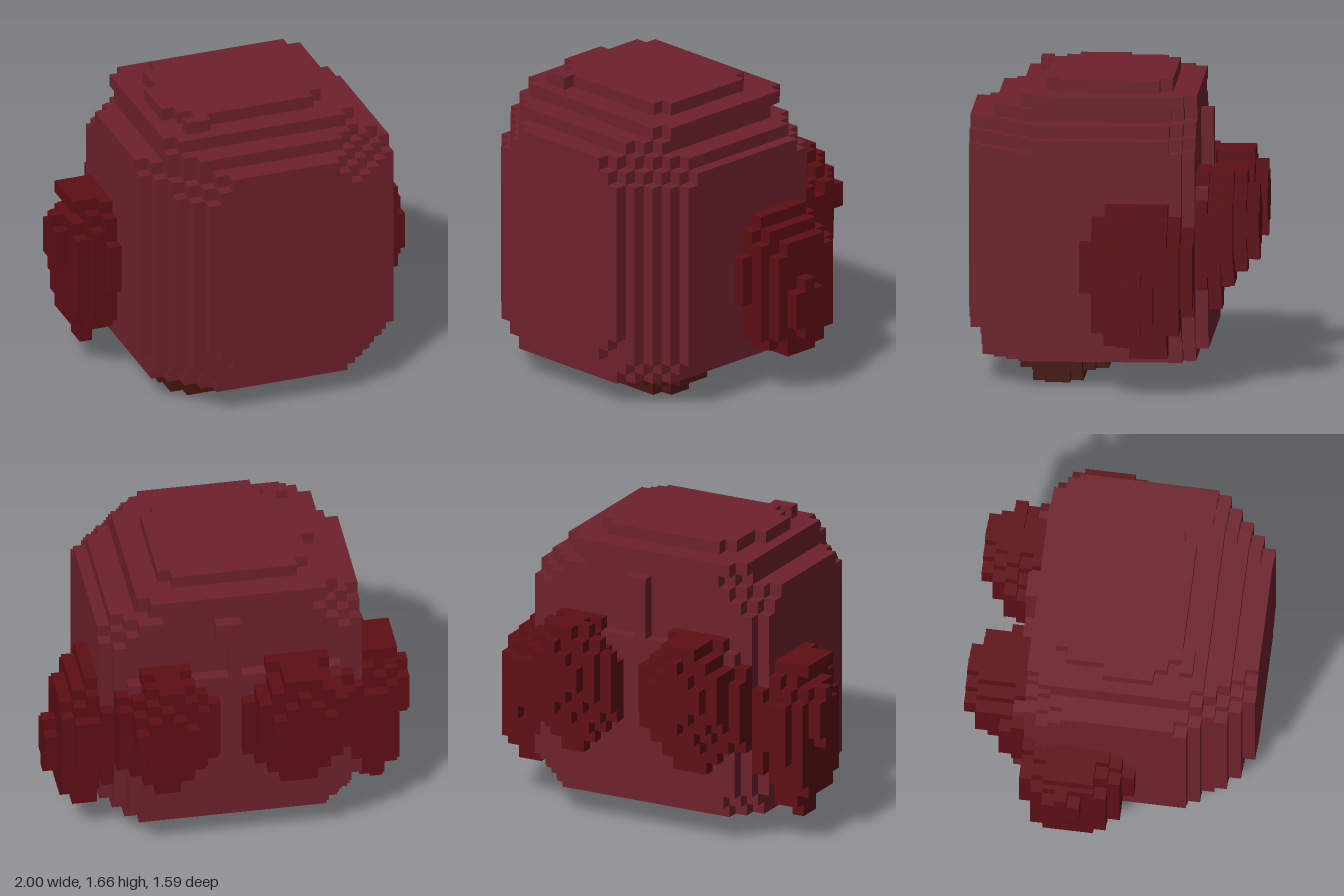
import * as THREE from 'three';

const S = 2 / 29;                 // edge length of one cube
const NX = 29, NZ = 23;           // grid size across and deep
const COLORS = { body: 0x6e222c, sideLobe: 0x5e0f15, backLobe: 0x5e0f15, foot: 0x471711 };

// Outward direction and two edge directions (u x v = n) of each cube face
const FACES = [
  [[1, 0, 0], [0, 1, 0], [0, 0, 1]], [[-1, 0, 0], [0, 0, 1], [0, 1, 0]],
  [[0, 1, 0], [0, 0, 1], [1, 0, 0]], [[0, -1, 0], [1, 0, 0], [0, 0, 1]],
  [[0, 0, 1], [1, 0, 0], [0, 1, 0]], [[0, 0, -1], [0, 1, 0], [1, 0, 0]],
];

// Mesh made of only the exposed faces of a part's cubes
function cubeMesh(name, color, cells, grid) {
  const pos = [], nor = [], idx = [];
  for (const c of cells) {
    for (const [n, u, v] of FACES) {
      if (grid.has(c.map((q, a) => q + n[a]).join())) continue;
      const base = pos.length / 3;
      for (const [du, dv] of [[-1, -1], [1, -1], [1, 1], [-1, 1]]) {
        const p = c.map((q, a) => q + 0.5 + (n[a] + du * u[a] + dv * v[a]) / 2);
        pos.push((p[0] - NX / 2) * S, p[1] * S, (p[2] - NZ / 2) * S);
        nor.push(...n);
      }
      idx.push(base, base + 1, base + 2, base, base + 2, base + 3);
    }
  }
  const geo = new THREE.BufferGeometry();
  geo.setAttribute('position', new THREE.Float32BufferAttribute(pos, 3));
  geo.setAttribute('normal', new THREE.Float32BufferAttribute(nor, 3));
  geo.setIndex(idx);
  const mesh = new THREE.Mesh(geo, new THREE.MeshStandardMaterial({ color }));
  mesh.name = name;
  return mesh;
}

export function createModel() {
  const grid = new Map();
  const parts = {};

  // Fill a slab of cubes; corners across the given axis are stepped off by chop
  function fill(part, x, y, z, axis = 1, chop = 0, keep = () => true) {
    const r = [x, y, z];
    const cells = (parts[part] ??= []);
    for (let i = x[0]; i < x[1]; i++)
      for (let j = y[0]; j < y[1]; j++)
        for (let k = z[0]; k < z[1]; k++) {
          const c = [i, j, k], key = c.join();
          let d = 0;
          for (let a = 0; a < 3; a++)
            if (a !== axis) d += Math.min(c[a] - r[a][0], r[a][1] - 1 - c[a]);
          if (d < chop || grid.has(key) || !keep(i, j, k)) continue;
          grid.set(key, part);
          cells.push(c);
        }
  }

  // Body: width limits from back to front, then stacked layers
  const widthAt = (k) => ({
    4: [6, 23], 5: [5, 24], 18: [5, 25], 19: [6, 24], 20: [6, 23], 21: [7, 22], 22: [8, 21],
  })[k] ?? [4, 25];
  const inPlan = (i, j, k) => {
    const [a, b] = widthAt(k);
    if (i < a || i >= b) return false;
    // rearmost layer: full width low down, a small ridge higher up
    if (k === 4 && j > 15 && i !== 14 && (i !== 15 || j < 19)) return false;
    // upright corners draw in toward the top and bottom
    const inset = Math.min(i - 4, 24 - i);
    const extra = j > 20 ? 0 : Math.max(0, j - 18, 4 - j);
    if (inset + 22 - k < 4 + extra || inset + k - 4 < 2 + extra) return false;
    // stepped corners of the front panel
    return k < 22 || Math.min(i - 8, 20 - i) + Math.min(j - 4, 21 - j) >= 2;
  };
  const layers = [
    // x, y, z, chop
    [[5, 23], [2, 3], [5, 22], 0],
    [[5, 24], [3, 4], [4, 22], 0],
    [[4, 25], [4, 20], [4, 23], 0],
    [[4, 24], [20, 21], [4, 23], 0],
    [[6, 22], [21, 22], [5, 21], 2],
    [[6, 22], [22, 23], [5, 19], 1],
    [[8, 20], [23, 24], [7, 17], 1],
    [[8, 10], [23, 24], [17, 18], 0],
    [[7, 8], [23, 24], [11, 15], 0],
  ];
  for (const [x, y, z, chop] of layers) fill('body', x, y, z, 1, chop, inPlan);
  fill('body', [12, 15], [1, 2], [12, 15]);

  // Side lobes: root filling the body corner, then slabs outward
  const sideSlabs = [
    // distance out from the body, y, z, chop
    [-1, [4, 15], [5, 12], 2],
    [0, [4, 15], [6, 13], 1], [0, [7, 13], [5, 14], 1], [0, [3, 4], [7, 10], 0],
    [1, [4, 14], [6, 13], 1], [1, [7, 12], [5, 6], 0], [1, [3, 4], [7, 10], 0],
    [2, [4, 13], [6, 12], 1],
  ];
  for (const [d, y, z, chop] of sideSlabs) {
    fill('rightSideLobe', [3 - d, 4 - d], y, z, 0, chop);
    fill('leftSideLobe', [25 + d, 26 + d], y, z, 0, chop);
  }
  fill('rightSideLobe', [1, 3], [14, 15], [7, 11]);
  fill('rightSideLobe', [2, 3], [2, 3], [8, 10]);
  fill('rightSideLobe', [0, 1], [8, 13], [7, 10], 0, 1);
  fill('leftSideLobe', [28, 29], [5, 10], [8, 11], 0, 1);

  // Back lobes, from the body outward
  const backLobes = [
    [4, [6, 17], [5, 14], [16, 24], 2],
    [3, [6, 17], [5, 14], [16, 24], 3], [2, [8, 17], [6, 13], [16, 24], 2],
    [1, [9, 17], [6, 13], [17, 23], 2], [0, [10, 16], [7, 12], [18, 23], 2],
  ];
  for (const [k, y, xr, xl, chop] of backLobes) {
    fill('rightBackLobe', xr, y, [k, k + 1], 2, chop);
    fill('leftBackLobe', xl, y, [k, k + 1], 2, chop);
  }

  // Feet: a wide upper layer over a smaller sole
  for (const [name, top, sole] of [['rightFoot', [6, 12], [7, 12]], ['leftFoot', [15, 22], [15, 21]]]) {
    fill(name, top, [1, 2], [12, 19], 1, 2);
    fill(name, sole, [0, 1], [14, 18], 1, 1);
  }

  const model = new THREE.Group();
  model.name = 'blockCreature';
  for (const [name, cells] of Object.entries(parts)) {
    const kind = Object.keys(COLORS).find((c) => name.toLowerCase().endsWith(c.toLowerCase()));
    model.add(cubeMesh(name, COLORS[kind], cells, grid));
  }
  return model;
}
